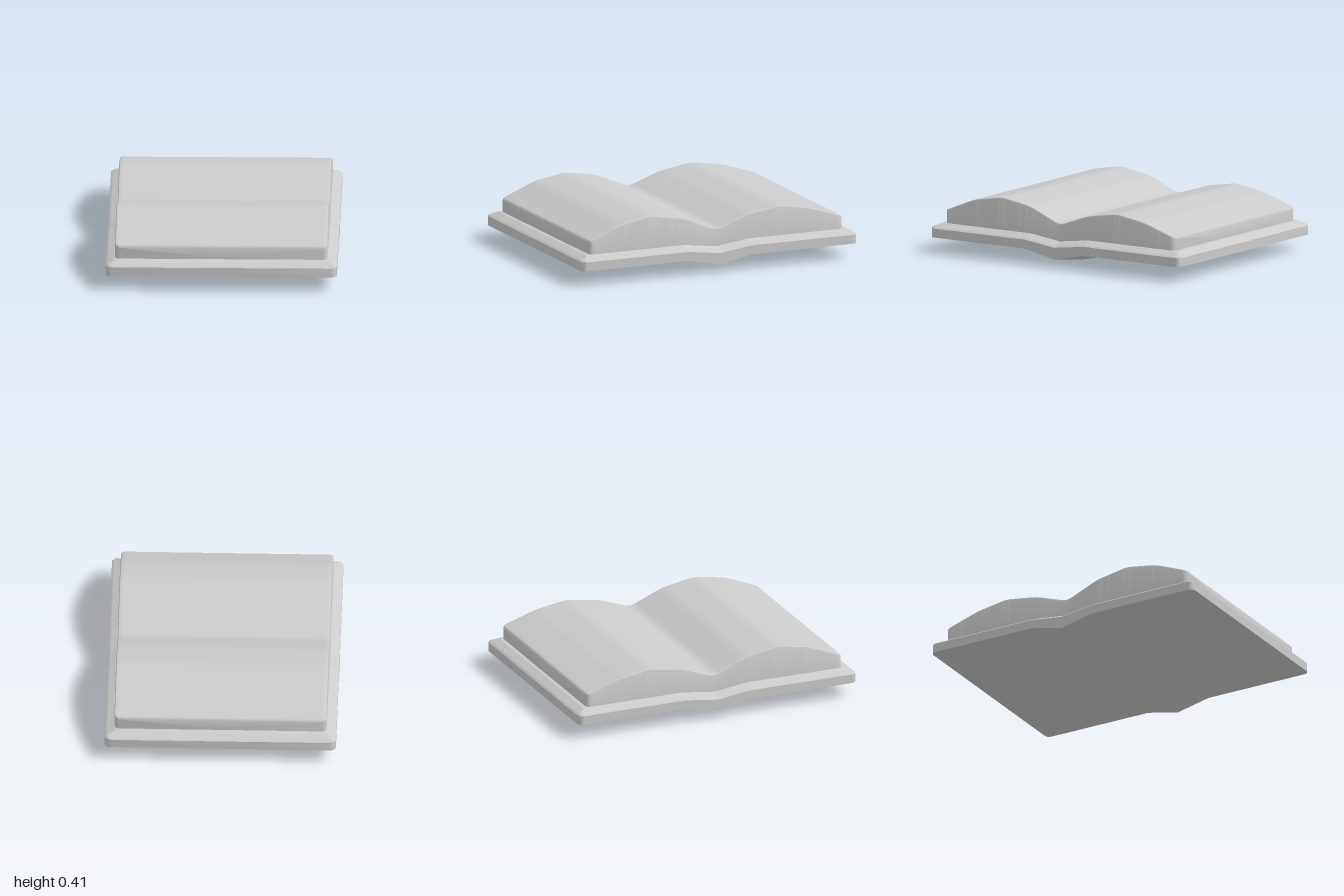
import * as THREE from 'three';
import { toCreasedNormals } from 'three/addons/utils/BufferGeometryUtils.js';

const clamp = THREE.MathUtils.clamp;

// piecewise linear curve through [position, value] points
function lerpPoints(pts, t) {
  let i = 0;
  while (i < pts.length - 2 && t > pts[i + 1][0]) i++;
  const [a, va] = pts[i], [b, vb] = pts[i + 1];
  return va + (vb - va) * (t - a) / (b - a);
}

// slab with rounded corners, lofted along z; bottom(x, z) and top(z, d) give heights, d = distance from edge
function slab(name, hx, hz, r, bottom, top, material) {
  const edge = [0, 0.004, 0.01, 0.02, 0.03, 0.04, 0.05, 0.06];
  const stations = [];
  for (const d of edge) stations.push(-hz + d, hz - d);
  for (let i = -50; i <= 50; i++) {
    const z = i * 0.02;
    if (Math.abs(z) < hz - 0.065) stations.push(z);
  }
  stations.sort((a, b) => a - b);
  const insets = [...edge, 0.12, 0.18, 0.24, 0.3, 0.36];

  const sections = stations.map((z) => {
    const dz = Math.max(0, hz - Math.abs(z));
    const k = Math.max(0, r - dz);
    const w = hx - r + Math.sqrt(r * r - k * k);
    const xs = [...insets.map((d) => d - w), ...insets.map((d) => w - d).reverse()];
    const under = xs.map((x) => [x, bottom(x, z), z]);
    const over = xs.map((x) => [x, top(z, Math.min(w - Math.abs(x), dz)), z]).reverse();
    return [...under, ...over];
  });

  const pos = [];
  const tri = (a, b, c) => pos.push(...a, ...b, ...c);
  const n = sections[0].length;
  for (let s = 0; s < sections.length - 1; s++) {
    const A = sections[s], B = sections[s + 1];
    for (let i = 0; i < n; i++) {
      const j = (i + 1) % n;
      tri(A[i], A[j], B[i]);
      tri(A[j], B[j], B[i]);
    }
  }
  // flat end faces
  for (const [ring, front] of [[sections[0], false], [sections[sections.length - 1], true]]) {
    const c = [0, 1, 2].map((k) => ring.reduce((sum, p) => sum + p[k], 0) / n);
    for (let i = 0; i < n; i++) {
      const p = ring[i], q = ring[(i + 1) % n];
      if (front) tri(c, p, q); else tri(c, q, p);
    }
  }
  const geo = new THREE.BufferGeometry();
  geo.setAttribute('position', new THREE.Float32BufferAttribute(pos, 3));
  const mesh = new THREE.Mesh(toCreasedNormals(geo, 0.6), material);
  mesh.name = name;
  return mesh;
}

export function createModel() {
  const group = new THREE.Group();
  group.name = 'openBook';
  const material = new THREE.MeshStandardMaterial({ color: 0xcccccc });

  // cover: thin board whose spine sags along the middle, with a chamfered underside
  const sag = (z) => clamp(1 - Math.abs(z) / 0.23, 0, 1);
  const coverBottom = (x, z) => {
    const ramp = Math.min((0.76 - Math.abs(x)) / 0.36, (1 - Math.abs(z)) / 0.3);
    return 0.103 - 0.05 * sag(z) - 0.05 * clamp(ramp, 0, 1);
  };
  const rim = [[0, 0.163], [0.01, 0.172], [0.04, 0.186], [0.06, 0.197], [1, 0.197]];
  const coverTop = (z, d) => lerpPoints(rim, d) - 0.03 * sag(z);
  group.add(slab('cover', 0.763, 1, 0.04, coverBottom, coverTop, material));

  // pages: two humps meeting in a valley, bends slightly softened
  const humps = [[-1.0, 0.255], [-0.92, 0.283], [-0.68, 0.361], [-0.46, 0.397], [-0.23, 0.361], [0, 0.279],
    [0.23, 0.377], [0.46, 0.417], [0.68, 0.38], [0.92, 0.283], [1.0, 0.25]];
  const pagesTop = (z, d) => {
    let y = 0;
    for (let k = -3; k <= 3; k++) y += lerpPoints(humps, z + k * 0.012) / 7;
    const e = 0.012, m = Math.max(0, e - d);
    return y - e + Math.sqrt(e * e - m * m);
  };
  group.add(slab('pages', 0.7, 0.918, 0.03, () => 0.14, pagesTop, material));
  return group;
}
